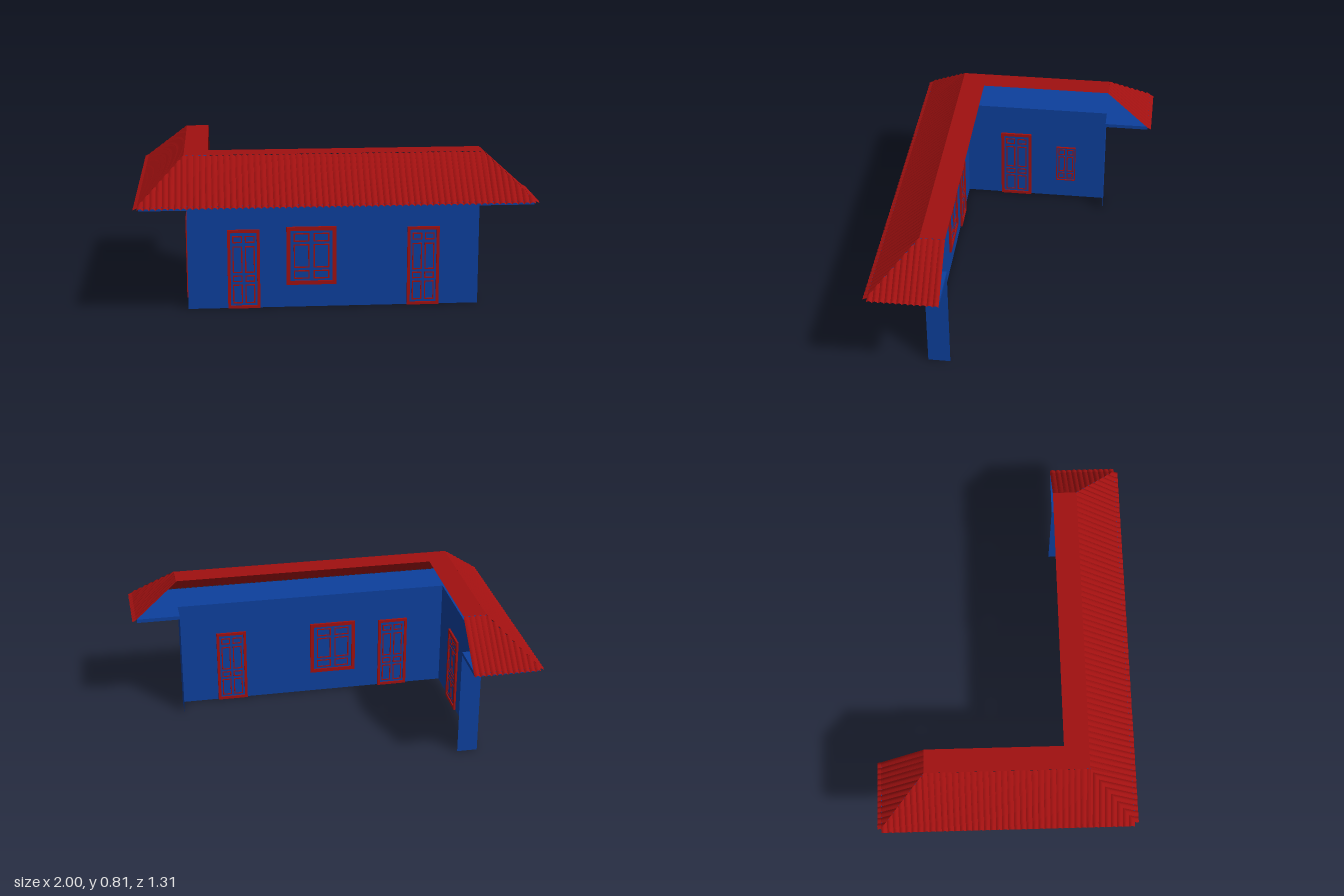
import * as THREE from 'three';

const red = new THREE.MeshStandardMaterial({ color: 0xa01010, side: THREE.DoubleSide });
const blue = new THREE.MeshStandardMaterial({ color: 0x0d3f9c, side: THREE.DoubleSide });

function add(parent, name, geo, mat, x = 0, y = 0, z = 0) {
  const m = new THREE.Mesh(geo, mat);
  m.name = name;
  m.position.set(x, y, z);
  parent.add(m);
  return m;
}

const outline = (pts) => new THREE.Shape(pts.map(([x, y]) => new THREE.Vector2(x, y)));
const rect = (w, h) => [[-w / 2, -h / 2], [w / 2, -h / 2], [w / 2, h / 2], [-w / 2, h / 2]];

// Rectangular ring centred on the origin, used for frames and mouldings
function ring(w, h, t, depth) {
  const s = outline(rect(w, h));
  s.holes.push(outline(rect(w - 2 * t, h - 2 * t)));
  return new THREE.ExtrudeGeometry(s, { depth, bevelEnabled: false }).translate(0, 0, -depth / 2);
}

// Folded wall sheet following a plan path of [x, z] points
function wallSheet(path, h) {
  const pos = [], idx = [];
  for (let i = 0; i < path.length - 1; i++) {
    const [a, b] = [path[i], path[i + 1]], k = i * 4;
    pos.push(a[0], 0, a[1], b[0], 0, b[1], b[0], h, b[1], a[0], h, a[1]);
    idx.push(k, k + 2, k + 1, k, k + 3, k + 2);
  }
  const g = new THREE.BufferGeometry();
  g.setAttribute('position', new THREE.Float32BufferAttribute(pos, 3));
  g.setIndex(idx);
  g.computeVertexNormals();
  return g;
}

// Ribbed roof slope: runs along x, falls towards +z, cut at 45 degrees beyond each ridge end
const RUN = 0.225, RISE = 0.205, TOP = 0.803;
function ribbedSlope(lo, hi, ridgeLo, ridgeHi, base) {
  const pitch = 0.03, sub = 6, n = Math.round((hi - lo) / pitch) * sub;
  const pos = [], idx = [];
  for (let i = 0; i <= n; i++) {
    const u = lo + (hi - lo) * i / n;
    const cut = Math.min(RUN, Math.max(0, u - ridgeHi, ridgeLo - u));
    const rib = 0.009 * Math.abs(Math.sin(Math.PI * i / sub)) - 0.004;
    pos.push(u, TOP - RISE * cut / RUN + rib * (cut > 0 ? 1 : 0.5), base + cut);
    pos.push(u, TOP - RISE + rib, base + RUN);
    pos.push(u, TOP - RISE - 0.01 + rib, base + RUN + 0.02);
    if (i < n) for (let j = 0; j < 2; j++) {
      const k = i * 3 + j;
      idx.push(k, k + 1, k + 4, k, k + 4, k + 3);
    }
  }
  const g = new THREE.BufferGeometry();
  g.setAttribute('position', new THREE.Float32BufferAttribute(pos, 3));
  g.setIndex(idx);
  const flat = g.toNonIndexed();
  flat.computeVertexNormals();
  return flat;
}

// Two columns of outlined panels; rows are [bottom, top] as fractions of the height
function panels(parent, w, h, rows, t) {
  const pw = w * 0.37;
  for (const side of [-1, 1]) for (const [a, b] of rows) {
    add(parent, 'panelMoulding', ring(pw, (b - a) * h, t, 0.015), red,
      side * w * 0.235, (a + b) / 2 * h, 0);
  }
}

const doorRows = [[0.03, 0.29], [0.325, 0.415], [0.45, 0.815], [0.86, 0.955]];
const windowRows = [[0.04, 0.21], [0.26, 0.73], [0.78, 0.95]];

function opening(name, u, y, w, h, frame, rows) {
  const g = new THREE.Group();
  g.name = name;
  g.position.set(u, y, 0);
  add(g, 'leaf', new THREE.BoxGeometry(w - 0.004, h - 0.004, 0.01), blue, 0, h / 2, 0);
  add(g, 'frame', ring(w, h, frame, 0.022), red, 0, h / 2, 0);
  const inner = new THREE.Group();
  inner.name = 'panels';
  inner.position.y = frame;
  panels(inner, w - 2 * frame, h - 2 * frame, rows, 0.006);
  g.add(inner);
  return g;
}

// Bent bars standing off the wall
function grille(u, y0, y1, w, out) {
  const g = new THREE.Group();
  g.name = 'windowGrille';
  const bars = 6, r = 0.003;
  const v = (x, y, z) => new THREE.Vector3(x, y, z);
  for (let i = 0; i < bars; i++) {
    const x = u - w / 2 + w * i / (bars - 1), c = 0.006;
    const path = new THREE.CurvePath();
    path.add(new THREE.LineCurve3(v(x, y0, 0), v(x, y0, out - c)));
    path.add(new THREE.QuadraticBezierCurve3(v(x, y0, out - c), v(x, y0, out), v(x, y0 + c, out)));
    path.add(new THREE.LineCurve3(v(x, y0 + c, out), v(x, y1 - c, out)));
    path.add(new THREE.QuadraticBezierCurve3(v(x, y1 - c, out), v(x, y1, out), v(x, y1, out - c)));
    path.add(new THREE.LineCurve3(v(x, y1, out - c), v(x, y1, 0)));
    add(g, 'grilleBar', new THREE.TubeGeometry(path, 60, r, 6), red);
  }
  for (const f of [0.05, 0.5, 0.95]) {
    add(g, 'grilleRail', new THREE.BoxGeometry(w, 0.006, 0.005), red, u, y0 + (y1 - y0) * f, out);
  }
  return g;
}

export function createModel() {
  const model = new THREE.Group();
  model.name = 'cornerBuilding';

  // Walls: long front, side wing and a short return at each end
  const path = [[0.745, 0.285], [0.745, 0.4], [-0.748, 0.4], [-0.748, -0.4], [-0.64, -0.4]];
  add(model, 'walls', wallSheet(path, 0.59), blue);

  // Eave slab outside the walls
  const slab = outline([[-0.975, 0.635], [0.975, 0.635], [0.975, 0.285], [0.745, 0.285], [0.745, 0.4],
    [-0.748, 0.4], [-0.748, -0.4], [-0.64, -0.4], [-0.64, -0.635], [-0.975, -0.635]]);
  add(model, 'eaveSlab', new THREE.ExtrudeGeometry(slab, { depth: 0.02, bevelEnabled: false })
    .rotateX(Math.PI / 2), blue, 0, 0.597, 0);

  // Flat strip along the top of the roof
  const strip = outline([[-0.755, 0.41], [0.755, 0.41], [0.755, 0.285], [-0.635, 0.285],
    [-0.635, -0.41], [-0.755, -0.41]]);
  add(model, 'roofTop', new THREE.ShapeGeometry(strip).rotateX(Math.PI / 2), red, 0, TOP + 0.002, 0);

  // Ribbed slopes: name, extent, ridge ends, base distance, turn
  const q = Math.PI / 2;
  for (const [name, lo, hi, rLo, rHi, base, turn] of [
    ['frontSlope', -0.98, 0.98, -0.755, 0.755, 0.41, 0],
    ['sideSlope', -0.635, 0.635, -0.41, 0.41, 0.755, -q],
    ['leftEndSlope', -0.635, -0.285, -0.41, 9, 0.755, q],
    ['backEndSlope', 0.635, 0.98, -9, 0.755, 0.41, 2 * q],
  ]) {
    add(model, name, ribbedSlope(lo, hi, rLo, rHi, base), red).rotation.y = turn;
  }

  // Front openings
  const front = new THREE.Group();
  front.name = 'frontOpenings';
  front.position.z = 0.4;
  front.add(opening('frontDoor', -0.463, 0, 0.165, 0.415, 0.015, doorRows));
  front.add(opening('frontDoor', 0.458, 0, 0.165, 0.415, 0.015, doorRows));
  front.add(opening('frontWindow', -0.117, 0.12, 0.256, 0.305, 0.02, windowRows));
  model.add(front);

  // Side wing openings
  const side = new THREE.Group();
  side.name = 'sideOpenings';
  side.position.x = -0.748;
  side.rotation.y = -q;
  side.add(opening('sideDoor', 0.117, 0, 0.176, 0.422, 0.017, doorRows));
  side.add(opening('sideWindow', -0.173, 0.118, 0.11, 0.23, 0.004, windowRows));
  side.add(grille(-0.173, 0.113, 0.352, 0.11, 0.018));
  model.add(side);

  return model;
}
